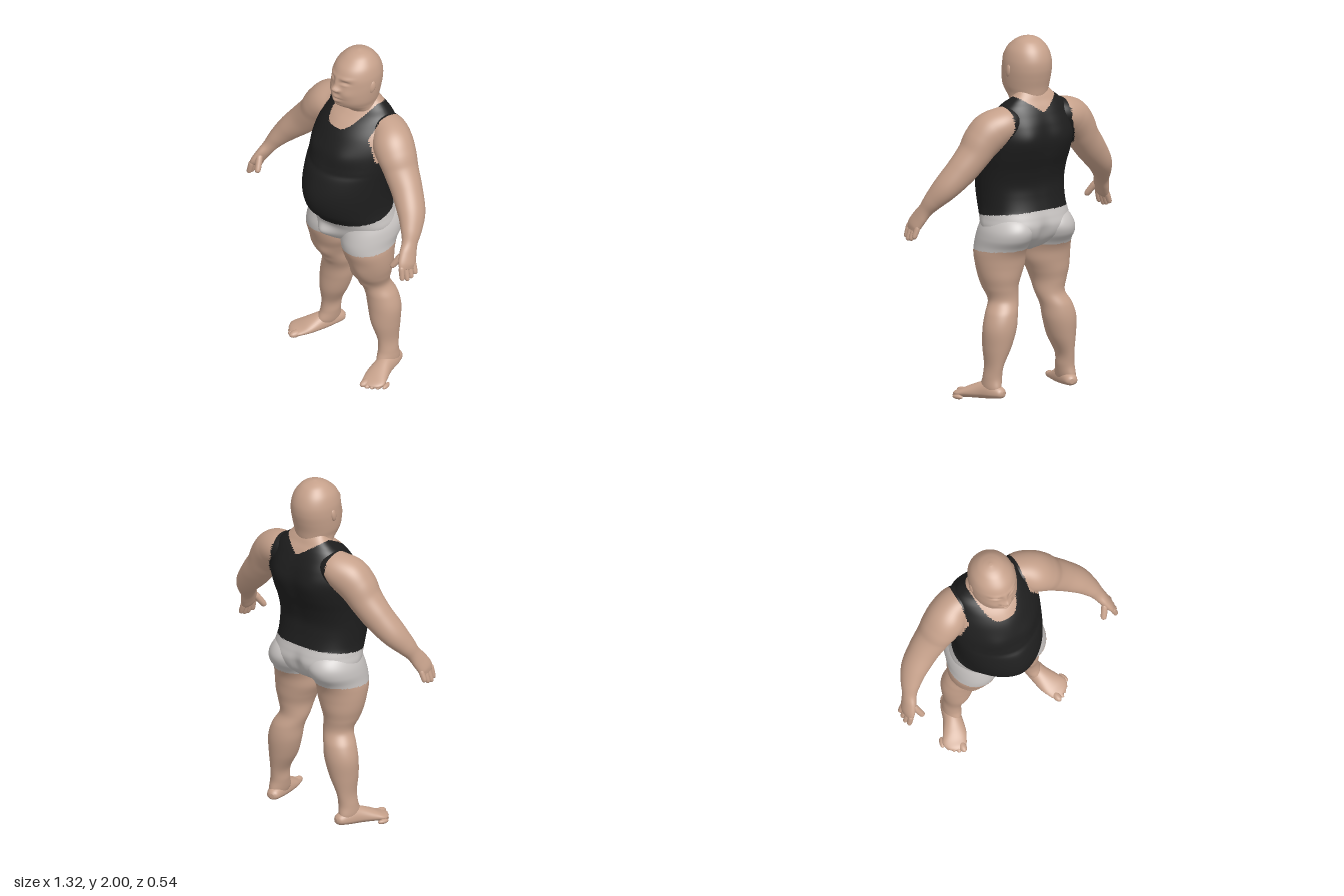
import * as THREE from 'three';

const mat = (name, color) => {
  const m = new THREE.MeshStandardMaterial({ color });
  m.name = name;
  return m;
};

// Smooth interpolation through a list of rings
function sampleRing(rings, t) {
  const f = t * (rings.length - 1);
  const i = Math.min(Math.floor(f), rings.length - 2);
  const k = f - i;
  const at = (n) => rings[Math.max(0, Math.min(rings.length - 1, n))];
  const [p0, p1, p2, p3] = [at(i - 1), at(i), at(i + 1), at(i + 2)];
  return p1.map((b, n) => {
    const a = p0[n], c = p2[n], d = p3[n];
    return b + 0.5 * k * (c - a + k * (2 * a - 5 * b + 4 * c - d + k * (3 * (b - c) + d - a)));
  });
}

// Closed loft through rings [x, y, z, sideRadius, frontRadius, backRadius].
// axis fixes the ring direction; without it the rings follow the path.
function loft(rings, { axis = null, ref = [0, 0, 1], around = 48, along = 64, frontPower = 2, backPower = 2 } = {}) {
  const pos = [], index = [];
  const up = new THREE.Vector3(...ref);
  const point = (t) => new THREE.Vector3(...sampleRing(rings, t).slice(0, 3));
  for (let i = 0; i <= along; i++) {
    const t = i / along;
    const [x, y, z, side, front, back] = sampleRing(rings, t);
    const dir = axis
      ? new THREE.Vector3(...axis).normalize()
      : point(Math.min(1, t + 0.02)).sub(point(Math.max(0, t - 0.02))).normalize();
    const v = up.clone().addScaledVector(dir, -up.dot(dir)).normalize();
    const u = new THREE.Vector3().crossVectors(dir, v);
    for (let j = 0; j < around; j++) {
      const a = (j / around) * Math.PI * 2;
      const c = Math.cos(a), s = Math.sin(a);
      const e = 2 / (s > 0 ? frontPower : backPower);
      const cu = Math.sign(c) * Math.abs(c) ** e * side;
      const cv = Math.sign(s) * Math.abs(s) ** e * (s > 0 ? front : back);
      pos.push(x + u.x * cu + v.x * cv, y + u.y * cu + v.y * cv, z + u.z * cu + v.z * cv);
    }
  }
  for (let i = 0; i < along; i++) {
    for (let j = 0; j < around; j++) {
      const a = i * around + j, b = i * around + ((j + 1) % around);
      index.push(a, a + around, b, b, a + around, b + around);
    }
  }
  // End caps
  const first = pos.length / 3, last = along * around;
  pos.push(...rings[0].slice(0, 3), ...rings[rings.length - 1].slice(0, 3));
  for (let j = 0; j < around; j++) {
    const k = (j + 1) % around;
    index.push(first, j, k, first + 1, last + k, last + j);
  }
  const geo = new THREE.BufferGeometry();
  geo.setAttribute('position', new THREE.Float32BufferAttribute(pos, 3));
  geo.setIndex(index);
  geo.computeVertexNormals();
  return geo;
}

// Push soft bumps [x, y, widthX, widthY, height] out of the front (1) or back (-1)
function sculpt(geo, side, bumps) {
  const p = geo.attributes.position, n = geo.attributes.normal;
  for (let i = 0; i < p.count; i++) {
    const facing = Math.min(1, Math.max(0, n.getZ(i) * side) * 1.5);
    const x = p.getX(i), y = p.getY(i);
    let d = 0;
    for (const [bx, by, wx, wy, h] of bumps) {
      d += h * Math.exp(-(((x - bx) / wx) ** 2) - ((y - by) / wy) ** 2);
    }
    p.setZ(i, p.getZ(i) + d * facing * side);
  }
  geo.computeVertexNormals();
  return geo;
}
const pair = (b) => [b, [-b[0], ...b.slice(1)]];

// Sort triangles into colour groups by a rule on their centres
function paint(geo, rule) {
  const p = geo.attributes.position, idx = geo.index.array, sorted = [[], [], []];
  for (let i = 0; i < idx.length; i += 3) {
    const t = [idx[i], idx[i + 1], idx[i + 2]];
    const mid = (get) => (p[get](t[0]) + p[get](t[1]) + p[get](t[2])) / 3;
    sorted[rule(mid('getX'), mid('getY'), mid('getZ'))].push(...t);
  }
  geo.setIndex(sorted.flat());
  let start = 0;
  sorted.forEach((s, m) => {
    if (s.length) geo.addGroup(start, s.length, m);
    start += s.length;
  });
  return geo;
}

const SKIN = 0, TANK = 1, SHORTS = 2;
const armhole = (y) => 0.19 + 0.5 * Math.min(0.15, Math.max(0, 1.53 - y));
function torsoRule(x, y, z) {
  const ax = Math.abs(x);
  if (y < 1.02 - 0.15 * z) return SHORTS;
  const neckline = z > -0.1 ? 1.565 + 0.095 * (ax / 0.115) ** 4 : 1.6 + 0.08 * (ax / 0.115);
  if (y > neckline) return SKIN;
  return y > 1.38 && z < 0.02 && ax > armhole(y) ? SKIN : TANK;
}
const legRule = (x, y, z) => (y < 0.825 - 0.08 * z ? SKIN : SHORTS);
const armRule = (x, y) => (y > 1.3 && Math.abs(x) < armhole(y) ? TANK : SKIN);

// Ring from half width and front/back limits
const slice = (x, y, half, front, back, mid = (front + back) / 2) =>
  [x, y, mid, half, front - mid, mid - back];

export function createModel() {
  const model = new THREE.Group();
  const skin = mat('skin', 0xc6a18b), tank = mat('black cloth', 0x1e1e1e), shorts = mat('light grey cloth', 0xc6c2c0);
  const palette = [skin, tank, shorts];
  const add = (name, geo, material = skin) => {
    const m = new THREE.Mesh(geo, material);
    m.name = name;
    model.add(m);
    return m;
  };

  // Torso with tank top and shorts
  const torso = loft([
    slice(0, 0.81, 0.04, 0.06, -0.09), slice(0, 0.845, 0.14, 0.12, -0.155),
    slice(0, 0.9, 0.24, 0.15, -0.213), slice(0, 0.96, 0.26, 0.17, -0.234),
    slice(0, 1.01, 0.253, 0.205, -0.228, -0.02), slice(0, 1.06, 0.244, 0.248, -0.214, -0.01),
    slice(0, 1.13, 0.243, 0.27, -0.2, 0), slice(0, 1.2, 0.246, 0.268, -0.195, 0),
    slice(0, 1.28, 0.251, 0.242, -0.215, -0.01), slice(0, 1.36, 0.258, 0.2, -0.245, -0.03),
    slice(0, 1.45, 0.258, 0.17, -0.264, -0.06), slice(0, 1.53, 0.237, 0.128, -0.253, -0.08),
    slice(0, 1.59, 0.21, 0.078, -0.233, -0.1), slice(0, 1.63, 0.188, 0.027, -0.214, -0.11),
    slice(0, 1.66, 0.153, -0.015, -0.195, -0.12), slice(0, 1.69, 0.115, -0.03, -0.18, -0.12),
    slice(0, 1.72, 0.09, -0.05, -0.16, -0.11),
  ], { axis: [0, 1, 0], around: 120, along: 144, frontPower: 1.75, backPower: 2.3 });
  sculpt(torso, 1, [[0, 0.905, 0.06, 0.045, 0.045], ...pair([0.11, 1.42, 0.075, 0.06, 0.014]), [0, 1.33, 0.3, 0.015, -0.004]]);
  sculpt(torso, -1, [
    ...pair([0.12, 1.46, 0.07, 0.1, 0.012]), [0, 1.38, 0.04, 0.2, -0.006],
    ...pair([0.12, 0.95, 0.08, 0.06, 0.008]), [0, 0.92, 0.03, 0.07, -0.022],
  ]);
  add('torso', paint(torso, torsoRule), palette);

  // Neck and head with sculpted face
  const head = loft([
    slice(0, 1.58, 0.12, 0.01, -0.18), slice(0, 1.64, 0.113, 0.004, -0.18),
    slice(0, 1.67, 0.109, 0.032, -0.18), slice(0, 1.695, 0.111, 0.066, -0.183),
    slice(0, 1.73, 0.12, 0.086, -0.188), slice(0, 1.78, 0.126, 0.09, -0.2),
    slice(0, 1.83, 0.128, 0.085, -0.209), slice(0, 1.88, 0.124, 0.078, -0.207),
    slice(0, 1.93, 0.108, 0.053, -0.188), slice(0, 1.97, 0.077, 0.008, -0.155),
    slice(0, 1.99, 0.046, -0.03, -0.12), slice(0, 2.0, 0.008, -0.07, -0.086),
  ], { axis: [0, 1, 0], around: 96, along: 120, frontPower: 1.95, backPower: 2.1 });
  sculpt(head, 1, [
    [0, 1.815, 0.02, 0.018, 0.026], [0, 1.85, 0.014, 0.03, 0.01], ...pair([0.023, 1.81, 0.012, 0.011, 0.013]),
    [0, 1.766, 0.03, 0.012, 0.011], [0, 1.74, 0.026, 0.012, 0.013], [0, 1.754, 0.036, 0.004, -0.006],
    [0, 1.705, 0.035, 0.014, 0.008], ...pair([0.05, 1.858, 0.026, 0.013, -0.013]),
    ...pair([0.05, 1.85, 0.02, 0.008, 0.008]), ...pair([0.05, 1.885, 0.035, 0.01, 0.006]),
    ...pair([0.065, 1.79, 0.03, 0.03, 0.006]),
  ]);
  add('head', head);

  for (const s of [1, -1]) {
    const side = s > 0 ? 'left' : 'right';
    const mirror = (rings) => rings.map(([x, ...r]) => [s * x, ...r]);
    const digit = (name, a, b, r) => add(name, loft(mirror([0, 0.12, 0.5, 0.85, 0.96, 1].map((t, i) => {
      const w = r * [0.6, 1, 1, 0.9, 0.6, 0.1][i];
      return [...a.map((v, k) => v + (b[k] - v) * t), w, w, w];
    })), { around: 12, along: 14 }));

    // Ear
    const ear = add(side + 'Ear', new THREE.SphereGeometry(1, 20, 14));
    ear.scale.set(0.014, 0.038, 0.021);
    ear.position.set(s * 0.122, 1.82, -0.064);
    ear.rotation.set(-0.2, s * -0.3, 0);

    // Arm and palm
    const arm = loft(mirror([
      [0.1, 1.565, -0.115, 0.07, 0.08, 0.08], [0.19, 1.548, -0.115, 0.092, 0.095, 0.106],
      [0.26, 1.51, -0.1, 0.107, 0.12, 0.108], [0.315, 1.455, -0.088, 0.1, 0.12, 0.1],
      [0.361, 1.388, -0.076, 0.088, 0.105, 0.092], [0.43, 1.303, -0.055, 0.082, 0.09, 0.084],
      [0.506, 1.216, -0.02, 0.068, 0.08, 0.077], [0.556, 1.143, 0.025, 0.05, 0.06, 0.06],
      [0.582, 1.09, 0.058, 0.037, 0.046, 0.046], [0.602, 1.045, 0.086, 0.031, 0.053, 0.052],
      [0.622, 0.998, 0.11, 0.026, 0.056, 0.053], [0.634, 0.972, 0.118, 0.015, 0.046, 0.044],
    ]), { around: 56, along: 96 });
    add(side + 'Arm', paint(arm, armRule), palette);

    // Fingers and thumb
    [0.92, 0.91, 0.915, 0.93].forEach((tip, i) => digit(side + 'Finger',
      [0.624, 1.0, 0.152 - i * 0.027], [0.652 - (i === 0 ? 0.01 : 0), tip, 0.16 - i * 0.028], 0.0155));
    digit(side + 'Thumb', [0.595, 1.05, 0.12], [0.558, 0.968, 0.17], 0.018);

    // Leg, rising into the hip and buttock
    const leg = loft(mirror([
      slice(0.125, 1.04, 0.08, 0.05, -0.15), slice(0.125, 1.0, 0.116, 0.1, -0.212),
      slice(0.13, 0.95, 0.137, 0.118, -0.24), slice(0.138, 0.9, 0.14, 0.13, -0.23),
      slice(0.143, 0.85, 0.138, 0.137, -0.192), slice(0.148, 0.8, 0.138, 0.132, -0.168),
      slice(0.15, 0.74, 0.134, 0.112, -0.158), slice(0.158, 0.68, 0.117, 0.09, -0.152),
      slice(0.16, 0.62, 0.098, 0.066, -0.142), slice(0.154, 0.55, 0.084, 0.022, -0.14),
      slice(0.181, 0.48, 0.09, 0.006, -0.168), slice(0.198, 0.4, 0.094, 0.002, -0.178),
      slice(0.213, 0.3, 0.077, 0, -0.168), slice(0.234, 0.2, 0.047, -0.02, -0.15),
      slice(0.241, 0.13, 0.047, -0.018, -0.142), slice(0.247, 0.075, 0.045, 0, -0.15),
      slice(0.247, 0.04, 0.034, -0.02, -0.135),
    ]), { axis: [0, -1, 0], around: 56, along: 128 });
    sculpt(leg, 1, [[s * 0.12, 0.64, 0.035, 0.04, 0.012], [s * 0.2, 0.67, 0.04, 0.05, 0.008], [s * 0.155, 0.56, 0.04, 0.025, 0.012]]);
    add(side + 'Leg', paint(leg, legRule), palette);

    // Foot and toes
    add(side + 'Foot', loft(mirror([
      [0.226, 0.05, -0.168, 0.012, 0.015, 0.012], [0.232, 0.05, -0.152, 0.034, 0.032, 0.024],
      [0.247, 0.047, -0.1, 0.046, 0.058, 0.03], [0.265, 0.042, -0.03, 0.052, 0.06, 0.034],
      [0.293, 0.035, 0.04, 0.064, 0.038, 0.031], [0.316, 0.027, 0.085, 0.066, 0.022, 0.026],
      [0.321, 0.022, 0.118, 0.051, 0.014, 0.02], [0.322, 0.02, 0.135, 0.022, 0.006, 0.012],
    ]), { axis: [s * 0.3, 0, 1], ref: [0, 1, 0], around: 40, along: 48 }));
    for (let i = 0; i < 5; i++) {
      const r = i ? 0.0175 - i * 0.0008 : 0.022;
      const toe = add(side + 'Toe', new THREE.SphereGeometry(1, 16, 12));
      toe.scale.set(r, r * 0.9, 0.04 - i * 0.002);
      toe.position.set(s * (0.292 + i * 0.0205 + (i ? 0.003 : 0)), r * 0.9, 0.124 - i * 0.007 - i * i * 0.0028);
      toe.rotation.y = s * (0.1 + i * 0.06);
    }
  }
  model.children.forEach((m) => { m.position.x += 0.008; });
  return model;
}
